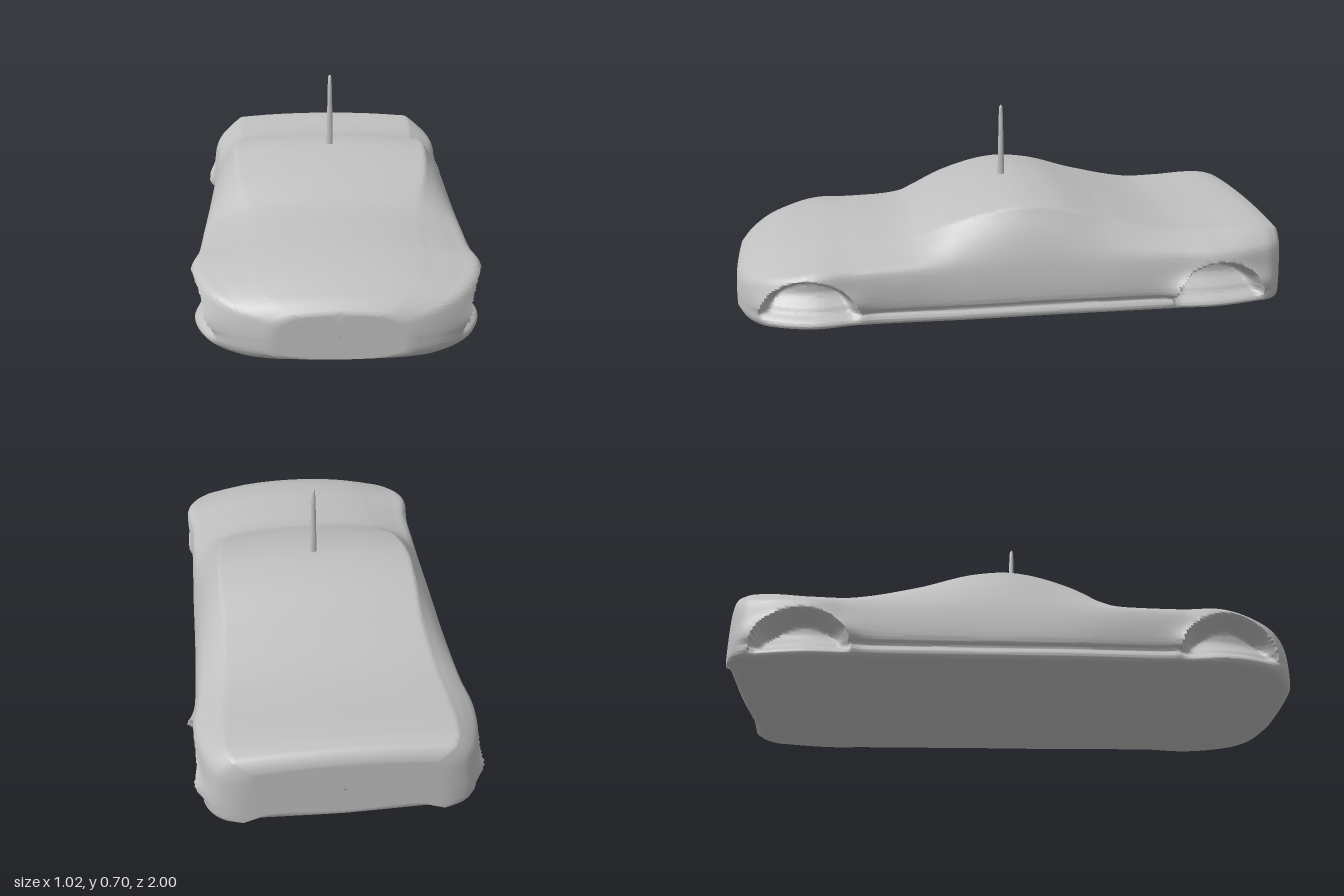
import * as THREE from 'three';
import { toCreasedNormals } from 'three/addons/utils/BufferGeometryUtils.js';

// Body stations from tail to nose:
// z, top height, roof edge x, roof edge y, belt x, belt y, side half width, floor height
const STATIONS = [
  [-1.00, .262, .31, .245, .335, .205, .345, .045],
  [-0.985, .290, .35, .272, .385, .220, .395, .028],
  [-0.95, .305, .375, .288, .425, .230, .438, .018],
  [-0.88, .310, .385, .295, .455, .230, .455, .012],
  [-0.72, .303, .38, .290, .478, .225, .48, .010],
  [-0.58, .309, .37, .293, .463, .230, .475, .010],
  [-0.35, .362, .36, .342, .457, .225, .473, .010],
  [-0.15, .420, .365, .396, .455, .225, .47, .010],
  [0.00, .430, .365, .405, .455, .225, .47, .010],
  [0.20, .385, .345, .360, .455, .225, .47, .010],
  [0.33, .333, .315, .307, .455, .225, .466, .010],
  [0.37, .317, .31, .290, .455, .225, .465, .010],
  [0.58, .296, .31, .266, .46, .220, .462, .009],
  [0.72, .283, .31, .256, .475, .216, .475, .006],
  [0.85, .255, .29, .230, .43, .192, .438, .003],
  [0.92, .225, .26, .205, .37, .175, .390, .001],
  [0.97, .198, .20, .183, .29, .152, .310, .004],
  [1.00, .168, .15, .157, .20, .130, .220, .014],
];

// Wheel arches: centre z, half length, height above the base line, rim flare
const ARCHES = [[0.74, .18, .175, .02], [-0.735, .175, .17, .034]];
const ARCH_BASE = .03;

// Samples between neighbouring section points, top centre to floor centre
const STEPS = [4, 4, 3, 3, 4, 6, 18, 5, 4, 4, 3, 4];

const { smoothstep } = THREE.MathUtils;
const profile = new THREE.CubicInterpolant(
  STATIONS.map(s => s[0]), STATIONS.flatMap(s => s.slice(1)), 7);

// Closed cross-section at z, running clockwise seen from the front
function section(z) {
  const [top, ex, ey, bx, by, w, floor] = profile.evaluate(z);
  const crown = top - ey, out = bx - ex, drop = ey - by;
  const groove = 1 - smoothstep(Math.abs(z), .86, .97);
  const half = [
    [0, top], [ex * .55, top - crown * .27], [ex * .92, top - crown * .8], [ex, ey],
    [ex + out * .13, ey - drop * .09], [ex + out * .6, ey - drop * .47], [bx, by],
    [w, .09], [w - .012 * groove, .07], [w, .05], [w - .01 + .006 * groove, .032],
    [w - .05, floor + .008], [0, floor],
  ];
  const mirrored = half.slice(1, -1).reverse().map(([x, y]) => [-x, y]);
  const points = [...half, ...mirrored].map(([x, y]) => new THREE.Vector3(x, y, z));
  const curve = new THREE.CatmullRomCurve3(points, true, 'centripetal');
  const ring = [];
  [...STEPS, ...[...STEPS].reverse()].forEach((n, k) => {
    for (let i = 0; i < n; i++) ring.push(curve.getPoint((k + i / n) / points.length));
  });
  ring.forEach(carveArch);
  return ring;
}

// Push the side inward inside an arch and flare it just outside the arch
function carveArch(p) {
  if (Math.abs(p.x) < .18 || p.y > .235) return;
  const side = Math.sign(p.x);
  for (const [cz, rz, ry, flare] of ARCHES) {
    const d = Math.hypot((p.z - cz) / rz, (p.y - ARCH_BASE) / ry);
    if (d < 1) {
      p.x -= side * .095 * smoothstep(1 - d, -.02, .22) * smoothstep(p.y, .03, .14);
    } else {
      p.x += side * flare * Math.exp((1 - d) * 5 - ((p.y - .11) / .05) ** 2);
    }
  }
}

// End face: the end ring drawn in towards a point on the centre line
function shrinkRing(ring, scale, y) {
  return ring.map(p => new THREE.Vector3(p.x * scale, y + (p.y - y) * scale, p.z));
}

// Skin the sections and both end faces
function bodyGeometry() {
  const rows = 240;
  const rings = Array.from({ length: rows + 1 }, (_, i) => section(-1 + 2 * i / rows));
  const tail = rings[0], nose = rings[rows];
  for (const scale of [.9, .6, .01]) {
    rings.unshift(shrinkRing(tail, scale, .15));
    rings.push(shrinkRing(nose, scale, .09));
  }
  const n = tail.length;
  const index = [];
  for (let i = 0; i < rings.length - 1; i++) {
    for (let j = 0; j < n; j++) {
      const a = i * n + j, b = i * n + (j + 1) % n;
      index.push(a, a + n, b, b, a + n, b + n);
    }
  }
  const geometry = new THREE.BufferGeometry().setFromPoints(rings.flat());
  geometry.setIndex(index);
  return toCreasedNormals(geometry, 1);
}

// Slim tapered mast
function antennaGeometry() {
  const outline = [[0, .415], [.012, .415], [.012, .46], [.0105, .55], [.008, .66], [.006, .692], [0, .7]];
  return toCreasedNormals(
    new THREE.LatheGeometry(outline.map(([x, y]) => new THREE.Vector2(x, y)), 10), .7);
}

export function createModel() {
  const model = new THREE.Group();
  model.name = 'carShell';
  const grey = new THREE.MeshStandardMaterial({ color: 0xc0c0c0 });
  grey.name = 'grey';

  const add = (name, geometry) => {
    const mesh = new THREE.Mesh(geometry, grey);
    mesh.name = name;
    model.add(mesh);
  };
  add('body', bodyGeometry());
  add('antenna', antennaGeometry());
  return model;
}
